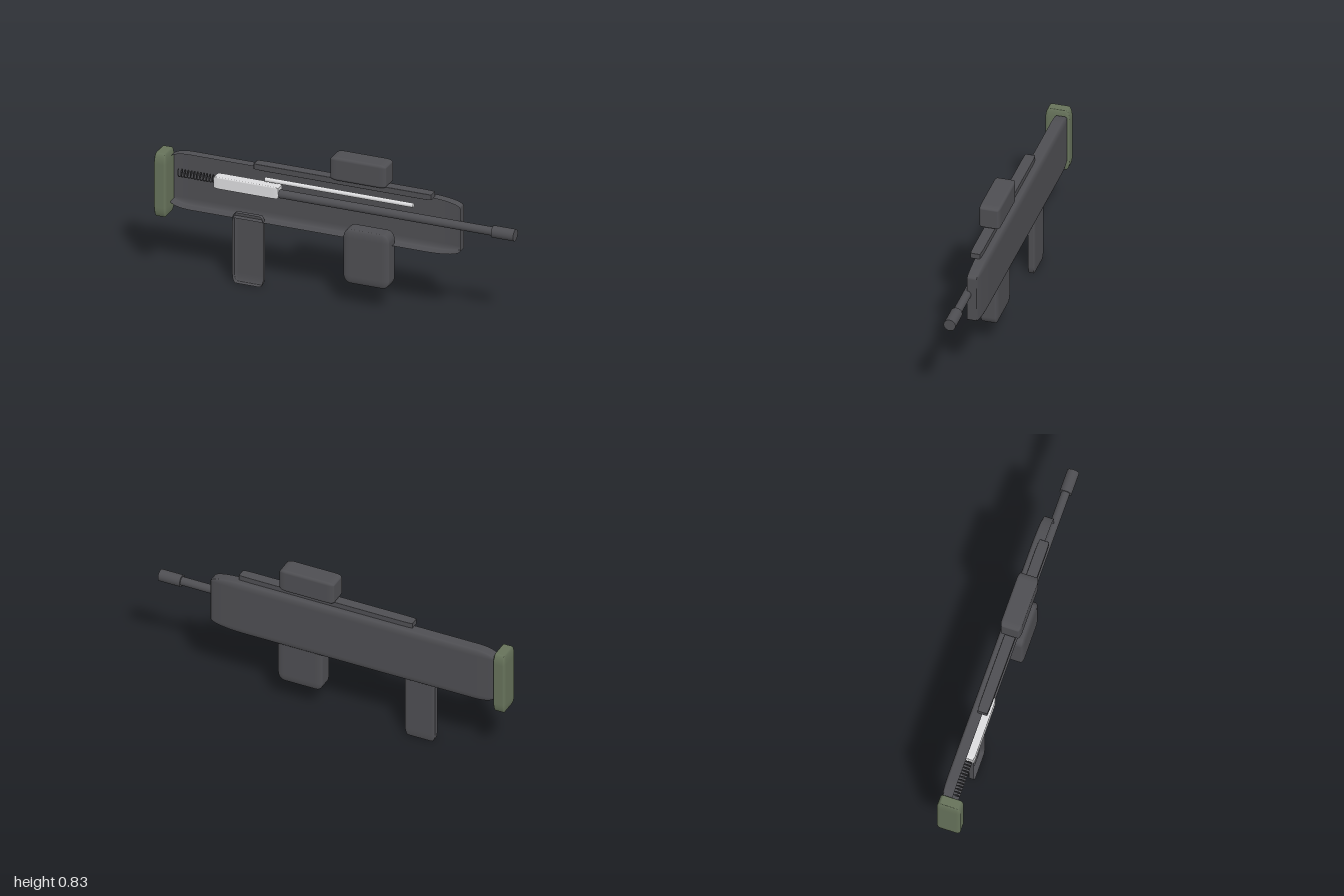
import * as THREE from 'three';
import { RoundedBoxGeometry } from 'three/addons/geometries/RoundedBoxGeometry.js';

// Rounded box between two corners; f is the rounded share of each side.
function roundedBox(min, max, f) {
  const g = new RoundedBoxGeometry(1, 1, 1, 4, f);
  g.scale(max[0] - min[0], max[1] - min[1], max[2] - min[2]);
  g.translate(...min.map((v, i) => (v + max[i]) / 2));
  return g;
}

// Keeps only the rear half (z <= 0) as a hollow shell open to the front.
function openHalf(source) {
  const p = source.attributes.position, n = source.attributes.normal;
  const pos = [], nor = [];
  for (let t = 0; t < p.count; t += 3) {
    const ids = [t, t + 1, t + 2];
    if (ids.every((i) => p.getZ(i) >= 0)) continue;
    for (const i of ids) {
      pos.push(p.getX(i), p.getY(i), Math.min(p.getZ(i), 0));
      nor.push(n.getX(i), n.getY(i), n.getZ(i));
    }
  }
  const g = new THREE.BufferGeometry();
  g.setAttribute('position', new THREE.Float32BufferAttribute(pos, 3));
  g.setAttribute('normal', new THREE.Float32BufferAttribute(nor, 3));
  return g;
}

// Cylinder lying along x.
function rod(x0, x1, y, r) {
  const g = new THREE.CylinderGeometry(r, r, x1 - x0, 32);
  g.rotateZ(-Math.PI / 2);
  g.translate((x0 + x1) / 2, y, 0);
  return g;
}

export function createModel() {
  const model = new THREE.Group();
  model.name = 'cutawayModel';

  const material = (name, color, side = THREE.FrontSide) => {
    const m = new THREE.MeshStandardMaterial({ color, side });
    m.name = name;
    return m;
  };
  const dark = material('dark grey', 0x4e4e52, THREE.DoubleSide);
  const green = material('olive green', 0x66725a);
  const light = material('light grey', 0xdcdcde);

  const add = (name, geometry, mat) => {
    const mesh = new THREE.Mesh(geometry, mat);
    mesh.name = name;
    model.add(mesh);
    return mesh;
  };

  // Half shell body: the rear end is rounded more tightly than the front end
  const x0 = -0.935, x1 = 0.69, f = 0.115;
  const body = roundedBox([x0, 0.37, -0.064], [x1, 0.682, 0.064], f);
  const p = body.attributes.position;
  const corner = x0 + f * (x1 - x0) + 1e-4;
  for (let i = 0; i < p.count; i++) {
    const x = p.getX(i);
    if (x < corner) p.setX(i, x0 + (x - x0) * 0.6);
  }
  add('bodyShell', openHalf(body), dark);

  // Half shell grip
  add('grip', openHalf(roundedBox([-0.585, 0.003, -0.034], [-0.413, 0.4, 0.034], 0.12)), dark);

  // Solid blocks
  add('magazine', roundedBox([0.053, 0.135, -0.048], [0.309, 0.44, 0.048], 0.15), dark);
  add('topRail', roundedBox([-0.455, 0.677, -0.029], [0.54, 0.711, 0.029], 0.08), dark);
  add('scope', roundedBox([-0.017, 0.708, -0.056], [0.296, 0.838, 0.056], 0.12), dark);
  add('buttPad', roundedBox([-1, 0.328, -0.065], [-0.932, 0.688, 0.065], 0.16), green);

  // Inner mechanism
  add('boltCarrier', roundedBox([-0.68, 0.53, -0.03], [-0.318, 0.598, 0.03], 0.1), light);
  add('gasRod', rod(-0.4, 0.43, 0.62, 0.012), light);
  add('barrel', rod(-0.34, 0.89, 0.553, 0.023), dark);
  add('muzzle', rod(0.876, 1, 0.553, 0.032), dark);

  // Recoil spring
  const coils = 12, points = [];
  for (let i = 0; i <= coils * 12; i++) {
    const a = (i / 12) * Math.PI * 2;
    points.push(new THREE.Vector3(
      -0.885 + 0.21 * i / (coils * 12), 0.572 + 0.02 * Math.cos(a), 0.02 * Math.sin(a)));
  }
  add('recoilSpring', new THREE.TubeGeometry(
    new THREE.CatmullRomCurve3(points), coils * 20, 0.003, 6), dark);

  return model;
}
